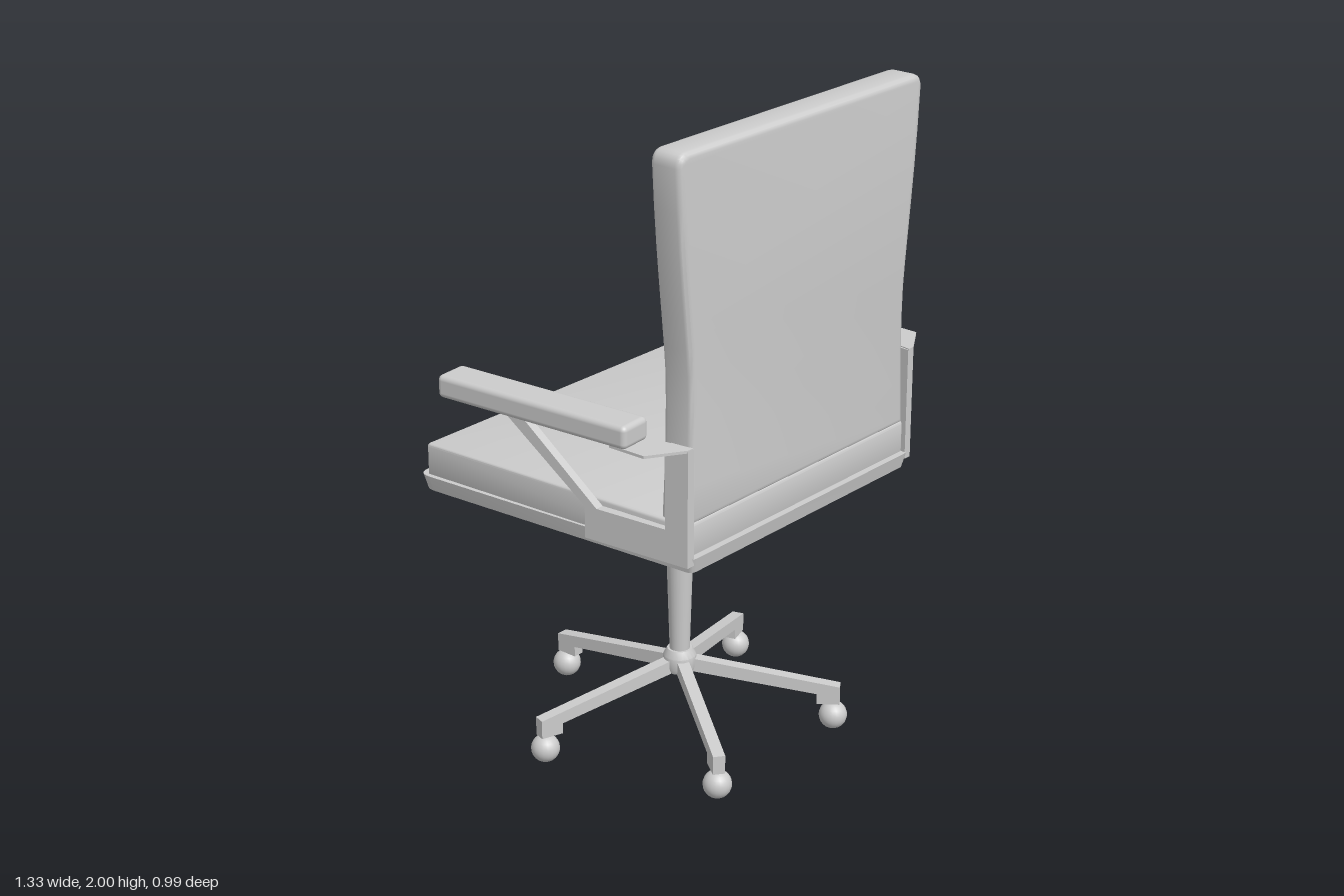
import * as THREE from 'three';
import { toCreasedNormals } from 'three/addons/utils/BufferGeometryUtils.js';
import { RoundedBoxGeometry } from 'three/addons/geometries/RoundedBoxGeometry.js';

const material = new THREE.MeshStandardMaterial({ color: 0xcccccc });
const AXIS_Z = 0.025; // the column stands slightly off the seat centre

function add(parent, name, geometry, x = 0, y = 0, z = 0) {
  const mesh = new THREE.Mesh(geometry, material);
  mesh.name = name;
  mesh.position.set(x, y, z);
  parent.add(mesh);
  return mesh;
}

// Closed outline with rounded corners; points are [x, y, radius]
function outline(points) {
  const shape = new THREE.Shape();
  const n = points.length;
  points.forEach(([x, y, r = 0], i) => {
    const p = new THREE.Vector2(x, y);
    const toward = (q) => new THREE.Vector2(q[0], q[1]).sub(p).setLength(r).add(p);
    const a = toward(points[(i + n - 1) % n]);
    const b = toward(points[(i + 1) % n]);
    if (i === 0) shape.moveTo(a.x, a.y);
    else shape.lineTo(a.x, a.y);
    if (r > 0) shape.quadraticCurveTo(x, y, b.x, b.y);
  });
  shape.closePath();
  return shape;
}

// Extrusion with a bevel that stays inside the outline, depth centred on 0
function slab(shape, depth, bevel = 0, segments = 3) {
  const geometry = new THREE.ExtrudeGeometry(shape, {
    depth: depth - 2 * bevel, bevelEnabled: bevel > 0, bevelThickness: bevel,
    bevelSize: bevel, bevelOffset: -bevel, bevelSegments: segments, curveSegments: 5,
  });
  geometry.translate(0, 0, bevel - depth / 2);
  return toCreasedNormals(geometry, 0.6);
}

// Tapered plan (wide at -z, narrow at +z) laid flat
function flatSlab(points, depth, bevel) {
  return slab(outline(points), depth, bevel).rotateX(Math.PI / 2);
}

function createSeat(chair) {
  // Tray: sides slope in towards the underside
  const tray = flatSlab(
    [[-0.56, -0.495, 0.045], [0.56, -0.495, 0.045], [0.493, 0.49, 0.02], [-0.493, 0.49, 0.02]], 0.046, 0);
  const p = tray.attributes.position;
  for (let i = 0; i < p.count; i++) {
    if (p.getY(i) < 0) p.setXYZ(i, p.getX(i) * 0.982, p.getY(i), p.getZ(i) * 0.98);
  }
  add(chair, 'seatTray', toCreasedNormals(tray, 0.6), 0, 0.838, 0);

  add(chair, 'seatCushion', flatSlab(
    [[-0.543, -0.472, 0.012], [0.543, -0.472, 0.012], [0.49, 0.47, 0.012], [-0.49, 0.47, 0.012]],
    0.105, 0.009), 0, 0.903, 0);
}

function createBackrest(chair) {
  // Waisted cushion, wider at the top
  const s = new THREE.Shape();
  s.moveTo(-0.485, 0.95);
  s.lineTo(0.485, 0.95);
  s.bezierCurveTo(0.472, 1.15, 0.466, 1.35, 0.48, 1.45);
  s.bezierCurveTo(0.495, 1.6, 0.515, 1.75, 0.525, 1.96);
  s.quadraticCurveTo(0.525, 2, 0.485, 2);
  s.lineTo(-0.485, 2);
  s.quadraticCurveTo(-0.525, 2, -0.525, 1.96);
  s.bezierCurveTo(-0.515, 1.75, -0.495, 1.6, -0.48, 1.45);
  s.bezierCurveTo(-0.466, 1.35, -0.472, 1.15, -0.485, 0.95);
  add(chair, 'backrest', slab(s, 0.104, 0.018), 0, 0, 0.42);
}

function createArm(chair, side) {
  const arm = new THREE.Group();
  arm.name = side > 0 ? 'leftArm' : 'rightArm';

  // Post, lower bar and diagonal strut cut from one plate, drawn in z and y
  const frame = slab(outline([
    [0.485, 0.84], [0.14, 0.84], [0.14, 0.935], [-0.18, 1.183], [-0.115, 1.183],
    [0.18, 0.937], [0.41, 0.937], [0.41, 1.183], [0.485, 1.183],
  ]), 0.026).rotateY(-Math.PI / 2);
  // Lean the plate along the tapering seat edge
  const p = frame.attributes.position;
  for (let i = 0; i < p.count; i++) {
    p.setX(i, p.getX(i) + side * (0.497 + 0.09 * (0.45 - p.getZ(i))));
  }
  add(arm, 'armFrame', toCreasedNormals(frame, 0.4));

  // Thin plate joining post and pad
  add(arm, 'armPlate', flatSlab([
    [side * 0.484, 0.485], [side * 0.505, 0.485], [side * 0.61, 0.42],
    [side * 0.612, 0.3], [side * 0.515, 0.3],
  ], 0.008, 0), 0, 1.182, 0);

  const pad = add(arm, 'armPad', new RoundedBoxGeometry(0.108, 0.068, 0.652, 3, 0.016), side * 0.587, 1.216, 0.028);
  pad.rotation.y = -side * 0.078;
  chair.add(arm);
}

function createBase(chair) {
  const base = new THREE.Group();
  base.name = 'base';
  base.position.z = AXIS_Z;

  add(base, 'swivelCup', new THREE.CylinderGeometry(0.183, 0.133, 0.062, 32), 0, 0.786, 0);
  add(base, 'column', new THREE.CylinderGeometry(0.046, 0.03, 0.53, 24), 0, 0.495, 0);
  const hub = [[0, 0.18], [0.045, 0.18], [0.05, 0.195], [0.05, 0.23], [0.038, 0.252], [0, 0.252]]
    .map(([r, y]) => new THREE.Vector2(r, y));
  add(base, 'hub', toCreasedNormals(new THREE.LatheGeometry(hub, 20), 0.5));

  // Height lever
  const lever = new THREE.Group();
  lever.name = 'lever';
  lever.position.set(0.15, 0.787, -0.01);
  lever.rotation.z = -0.15;
  add(lever, 'leverRod', new THREE.CylinderGeometry(0.005, 0.005, 0.24, 8).rotateZ(Math.PI / 2), 0.12);
  add(lever, 'leverTip', new THREE.CylinderGeometry(0.009, 0.009, 0.035, 10).rotateZ(Math.PI / 2), 0.23);
  base.add(lever);

  // Five legs with ball castors, the first pointing to -z
  const profile = outline([
    [0.01, 0.185], [0.415, 0.118], [0.415, 0.085], [0.485, 0.085], [0.485, 0.143], [0.01, 0.228],
  ]);
  for (let k = 0; k < 5; k++) {
    const leg = new THREE.Group();
    leg.name = 'leg' + (k + 1);
    leg.rotation.y = Math.PI / 2 + (k * Math.PI * 2) / 5;
    add(leg, 'legBar', slab(profile, 0.036));
    add(leg, 'castor', new THREE.SphereGeometry(0.043, 20, 14), 0.465, 0.043, 0);
    base.add(leg);
  }
  chair.add(base);
}

export function createModel() {
  const chair = new THREE.Group();
  chair.name = 'officeChair';
  createSeat(chair);
  createBackrest(chair);
  for (const side of [1, -1]) createArm(chair, side);
  createBase(chair);
  return chair;
}
